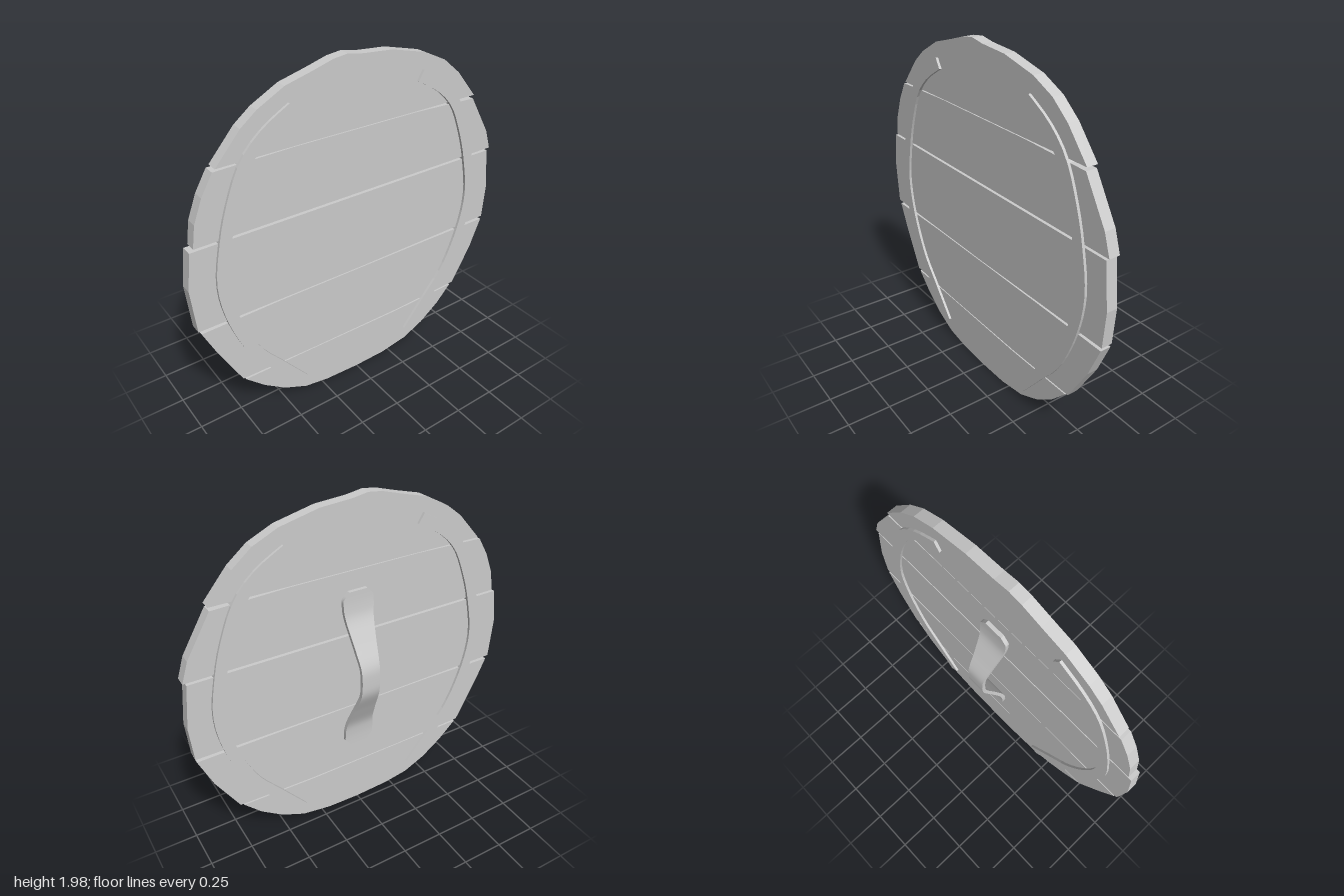
import * as THREE from 'three';

const material = new THREE.MeshStandardMaterial({ color: 0xcccccc });

// Hand-cut plank outlines, listed counter-clockwise as [x, y]
const PLANKS = [
  [[-0.75, 0.305], [-0.64, 0.2], [-0.51, 0.105], [-0.37, 0.04], [-0.22, 0.015], [0, 0.005], [0.2, 0.01],
    [0.38, 0.04], [0.52, 0.105], [0.65, 0.2], [0.75, 0.305], [0.3, 0.295], [-0.3, 0.302]],
  [[-0.765, 0.318], [-0.3, 0.308], [0.3, 0.304], [0.77, 0.315], [0.9, 0.54], [0.975, 0.725], [0.5, 0.73],
    [-0.5, 0.733], [-0.965, 0.725], [-0.9, 0.58]],
  [[-0.98, 0.745], [0, 0.738], [0.98, 0.745], [0.993, 0.95], [0.962, 1.208], [-0.972, 1.208], [-1, 1]],
  [[-0.95, 1.222], [0.98, 1.222], [0.94, 1.34], [0.8, 1.572], [0.38, 1.587], [-0.38, 1.59], [-0.815, 1.58],
    [-0.88, 1.47], [-0.93, 1.345]],
  [[-0.8, 1.592], [-0.3, 1.594], [0.35, 1.592], [0.805, 1.592], [0.67, 1.75], [0.56, 1.84], [0.42, 1.905],
    [0.2, 1.957], [0.02, 1.97], [-0.07, 1.985], [-0.15, 1.975], [-0.27, 1.94], [-0.42, 1.9], [-0.57, 1.82], [-0.66, 1.75]],
];

// Centre line of the left strap, top to bottom
const STRAP = [[0.39, 1.79], [0.54, 1.7], [0.655, 1.58], [0.735, 1.4], [0.79, 1.21], [0.826, 0.97],
  [0.785, 0.73], [0.68, 0.48], [0.54, 0.3], [0.39, 0.115]];

const toVectors = (points) => points.map(([x, y]) => new THREE.Vector2(x, y));

function extrudeOutline(points, z0, z1) {
  const geometry = new THREE.ExtrudeGeometry(new THREE.Shape(points), { depth: z1 - z0, bevelEnabled: false });
  return geometry.translate(0, 0, z0);
}

// Ribbon outline of constant width around a smooth centre line
function ribbon(points, width, segments) {
  const curve = new THREE.SplineCurve(toVectors(points));
  const outer = [], inner = [];
  for (let i = 0; i <= segments; i++) {
    const p = curve.getPointAt(i / segments);
    const t = curve.getTangentAt(i / segments);
    const n = new THREE.Vector2(-t.y, t.x).multiplyScalar(width / 2);
    outer.push(p.clone().add(n));
    inner.push(p.clone().sub(n));
  }
  return outer.concat(inner.reverse());
}

// Piecewise-linear lookup in a table of [key, value]
function lookup(table, key) {
  for (let i = 1; i < table.length; i++) {
    const [k0, v0] = table[i - 1], [k1, v1] = table[i];
    if (key <= k1) return v0 + (v1 - v0) * (key - k0) / (k1 - k0);
  }
  return table[table.length - 1][1];
}

// Bowed hand grip: a box bent outwards and pinched in the middle
function gripGeometry() {
  const middle = 0.975, halfLength = 0.505;
  const bend = new THREE.SplineCurve(toVectors([[0, -0.102], [0.09, -0.094], [0.22, -0.036], [0.34, 0.015],
    [0.42, 0.028], [halfLength, 0.031]]));
  const bendTable = bend.getPoints(60).map((p) => [p.x, p.y]);
  const halfWidth = [[0, 0.055], [0.1, 0.058], [0.2, 0.068], [0.3, 0.08], [0.4, 0.092], [0.465, 0.092], [halfLength, 0.055]];
  const geometry = new THREE.BoxGeometry(2, halfLength * 2, 0.022, 4, 50, 1);
  const position = geometry.attributes.position;
  for (let i = 0; i < position.count; i++) {
    const x = position.getX(i), y = position.getY(i), z = position.getZ(i);
    const d = Math.abs(y);
    const slope = (lookup(bendTable, d + 0.01) - lookup(bendTable, Math.max(0, d - 0.01))) / 0.02;
    const c = 1 / Math.hypot(1, slope);
    position.setXYZ(i, x * lookup(halfWidth, d),
      middle + y - z * slope * c * Math.sign(y), lookup(bendTable, d) + z * c);
  }
  geometry.computeVertexNormals();
  return geometry;
}

export function createModel() {
  const model = new THREE.Group();
  model.name = 'plankShield';
  const add = (name, geometry) => {
    const mesh = new THREE.Mesh(geometry, material);
    mesh.name = name;
    model.add(mesh);
  };

  // Five planks, bottom to top
  PLANKS.forEach((points, i) => add(`plank${i + 1}`, extrudeOutline(toVectors(points), 0.042, 0.105)));

  // Mirrored curved straps, standing proud on both faces
  for (const [name, side] of [['leftStrap', 1], ['rightStrap', -1]]) {
    const path = STRAP.map(([x, y]) => [x * side, y]);
    add(name, extrudeOutline(ribbon(path, 0.065, 32), 0.027, 0.12));
  }

  // Grip on the back
  add('handGrip', gripGeometry());
  return model;
}
